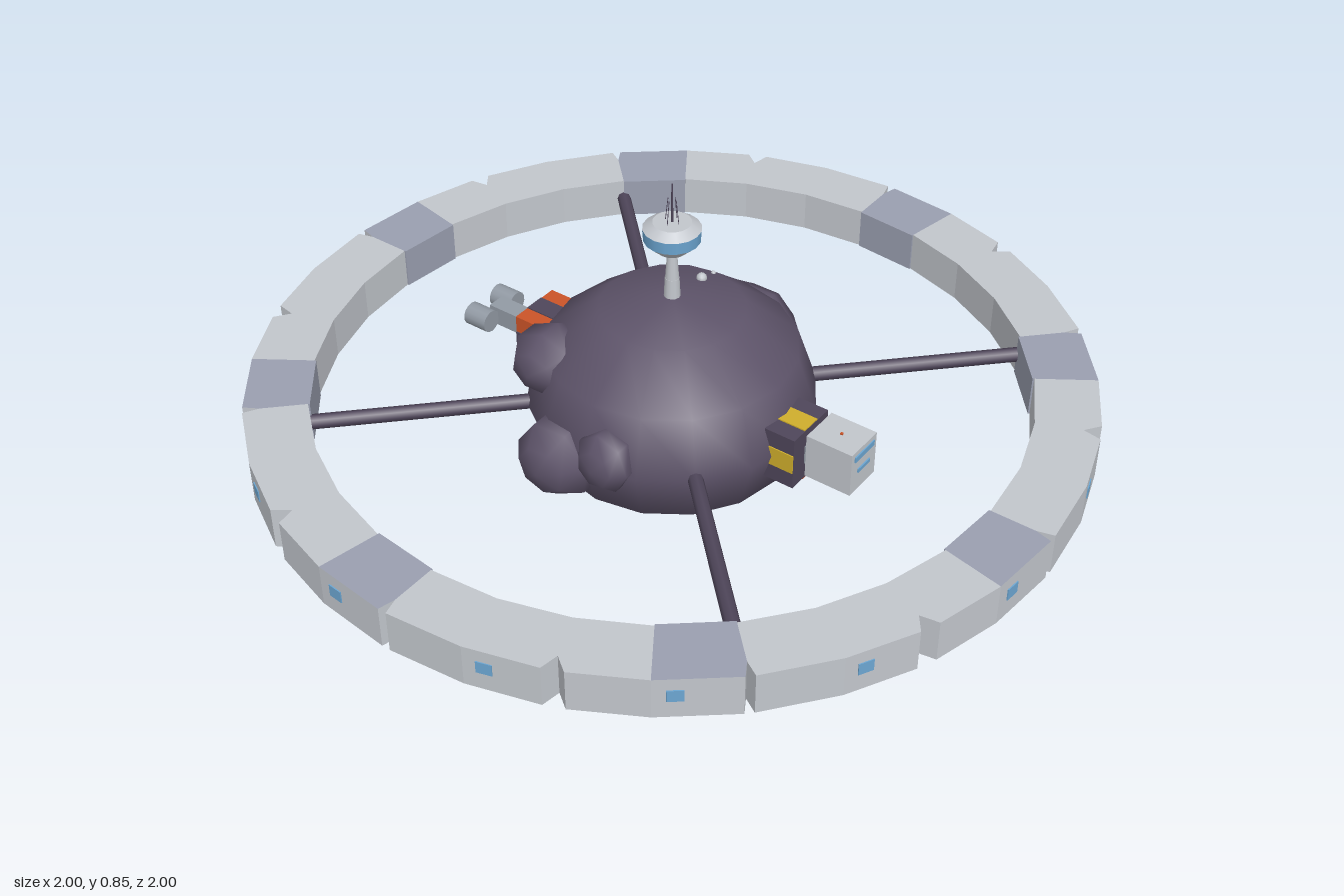
import * as THREE from 'three';

const mat = (name, color, extra = {}) => {
  const m = new THREE.MeshStandardMaterial({ color, ...extra });
  m.name = name;
  return m;
};

export function createModel() {
  const root = new THREE.Group();
  root.name = 'asteroidStation';
  const rock = mat('rock', 0x5d5369);
  const dark = mat('darkMetal', 0x4f465a);
  const hull = mat('hull', 0xc2c6cc);
  const panel = mat('panel', 0x9a9fb0);
  const grey = mat('greyMetal', 0x929aa4);
  const blue = mat('blueGlass', 0x6ca6d2);
  const orange = mat('orange', 0xcb5428);
  const yellow = mat('yellow', 0xcfae2c);

  const MID = 0.282, Y0 = 0.23, H = 0.105;
  const add = (name, geo, material, x = 0, y = 0, z = 0, parent = root) => {
    const m = new THREE.Mesh(geo, material);
    m.name = name;
    m.position.set(x, y, z);
    parent.add(m);
    return m;
  };
  const box = (name, material, w, h, d, x, y, z) =>
    add(name, new THREE.BoxGeometry(w, h, d), material, x, y, z);
  const rad = THREE.MathUtils.degToRad;

  // Extrudes a plan outline given as [degrees from +z towards +x, radius]
  const plan = (pts, h) => {
    const shape = new THREE.Shape(pts.map(([a, r]) =>
      new THREE.Vector2(r * Math.sin(rad(a)), -r * Math.cos(rad(a)))));
    return new THREE.ExtrudeGeometry(shape, { depth: h, bevelEnabled: false }).rotateX(-Math.PI / 2);
  };

  // Habitat ring: sixteen segments, each in two halves, with grooves at the seams
  const ring = new THREE.Group();
  ring.name = 'habitatRing';
  root.add(ring);
  const STEP = 22.5, HALF = STEP / 2;
  for (let i = 0; i < 16; i++) {
    const a = i * STEP;
    const groove = (k) => (k % 2 ? 1.4 : 0.6);
    const b = a + HALF, c = a + STEP;
    const first = plan([[a, 0.85], [a, 0.96], [a + groove(i), 1], [b, 1], [b, 0.85]], H);
    const second = plan([[b, 0.85], [b, 1], [c - groove(i + 1), 1], [c, 0.96], [c, 0.85]], H);
    const tinted = i % 2 === 1;
    add('ringSegment', first, hull, 0, Y0, 0, ring);
    add('ringSegment', second, tinted ? [panel, hull] : hull, 0, Y0, 0, ring);
    if (tinted) add('innerPanel', plan([[b, 0.846], [b, 0.85], [c, 0.85], [c, 0.846]], H), panel, 0, Y0, 0, ring);
    // Window on the outer wall
    const w = a + 14, r = Math.cos(rad(HALF / 2)) / Math.cos(rad(w - (b + HALF / 2)));
    const win = add('ringWindow', new THREE.BoxGeometry(0.036, 0.03, 0.006), blue,
      r * Math.sin(rad(w)), 0.29, r * Math.cos(rad(w)), ring);
    win.rotation.y = rad(b + HALF / 2);
  }

  // Spokes
  for (let i = 0; i < 4; i++) {
    const a = Math.PI / 4 + i * Math.PI / 2;
    const geo = new THREE.CylinderGeometry(0.018, 0.018, 0.58, 8).rotateX(Math.PI / 2);
    add('spoke', geo, dark, 0.565 * Math.sin(a), MID, 0.565 * Math.cos(a)).rotation.y = a;
  }

  // Asteroid core and its boulders
  add('asteroid', new THREE.SphereGeometry(1, 16, 6).scale(0.347, 0.275, 0.347), rock, 0, 0.28, 0);
  const lumps = [
    [0.32, 0.27, -0.01, 0.115, 0.115, 0.145],
    [-0.185, 0.39, -0.21, 0.095, 0.085, 0.1],
    [-0.31, 0.24, -0.09, 0.095, 0.1, 0.11],
    [-0.32, 0.3, 0.05, 0.06, 0.08, 0.075],
    [0.2, 0.18, -0.23, 0.09, 0.075, 0.085],
  ];
  lumps.forEach(([x, y, z, sx, sy, sz], i) => {
    const geo = new THREE.SphereGeometry(1, 7, 5).rotateZ(Math.PI / 2).rotateX(i * 1.3);
    add('boulder', geo, rock, x, y, z).scale.set(sx, sy, sz);
  });

  // Antenna mast and dish
  add('mastBase', new THREE.CylinderGeometry(0.017, 0.02, 0.06, 12), hull, 0, 0.57, 0);
  add('mast', new THREE.CylinderGeometry(0.012, 0.017, 0.07, 12), hull, 0, 0.625, 0);
  add('mastPin', new THREE.CylinderGeometry(0.003, 0.003, 0.03, 6), dark, 0, 0.668, 0);
  add('dishBowl', new THREE.CylinderGeometry(0.066, 0.034, 0.03, 16), hull, 0, 0.69, 0);
  add('dishBand', new THREE.CylinderGeometry(0.068, 0.066, 0.03, 16), blue, 0, 0.72, 0);
  add('dishCap', new THREE.CylinderGeometry(0.045, 0.068, 0.016, 16), hull, 0, 0.743, 0);
  add('aerial', new THREE.CylinderGeometry(0.002, 0.003, 0.1, 6), dark, 0, 0.8, 0);
  for (let i = 0; i < 4; i++) {
    const a = i * Math.PI / 2, pivot = new THREE.Group();
    pivot.name = 'sideAerial';
    pivot.rotation.y = a;
    root.add(pivot);
    add('sideAerialRod', new THREE.CylinderGeometry(0.001, 0.001, 0.06, 4), dark, 0.015, 0.78, 0, pivot).rotation.z = 0.12;
  }
  // Beacons on the rock
  add('beacon', new THREE.SphereGeometry(0.013, 10, 6), hull, 0.117, 0.533, 0);
  add('smallBeacon', new THREE.SphereGeometry(0.006, 8, 6), hull, 0.165, 0.52, 0);

  // Docking collars: square block with a contrasting square in the middle of each side
  const collar = (name, base, mark, under, z, depth) => {
    box(name, base, 0.14, 0.138, depth, 0, MID, z);
    for (const s of [-1, 1]) {
      box(name + 'SideMark', mark, 0.004, 0.05, depth * 0.98, s * 0.071, MID, z);
      box(name + 'EdgeMark', s > 0 ? mark : under, 0.052, 0.004, depth * 0.98, 0, MID + s * 0.07, z);
    }
  };
  collar('rearCollar', orange, dark, dark, -0.375, 0.09);
  collar('frontCollar', dark, yellow, orange, 0.35, 0.08);

  // Rear engine arm with two nozzles
  box('rearArm', grey, 0.048, 0.05, 0.13, 0, MID, -0.48);
  box('nozzleBar', grey, 0.1, 0.024, 0.024, 0, MID, -0.535);
  for (const s of [-1, 1]) {
    box('rearLamp', blue, 0.024, 0.024, 0.004, s * 0.045, MID + 0.035, -0.421);
    const nozzle = new THREE.CylinderGeometry(0.029, 0.029, 0.065, 14).rotateX(Math.PI / 2);
    add('nozzle', nozzle, grey, s * 0.049, MID, -0.552);
    const cap = new THREE.CylinderGeometry(0.025, 0.025, 0.004, 14).rotateX(Math.PI / 2);
    add('nozzleGlow', cap, blue, s * 0.049, MID, -0.585);
  }

  // Front command cabin
  box('cabinNeck', grey, 0.05, 0.05, 0.05, 0, MID, 0.4);
  box('cabin', hull, 0.104, 0.115, 0.12, 0, 0.307, 0.47);
  box('cabinWindow', blue, 0.08, 0.014, 0.004, 0, 0.345, 0.531);
  box('cabinLowerWindow', blue, 0.05, 0.01, 0.004, 0, 0.305, 0.531);
  box('cabinLamp', orange, 0.006, 0.004, 0.006, 0, 0.366, 0.47);
  return root;
}
